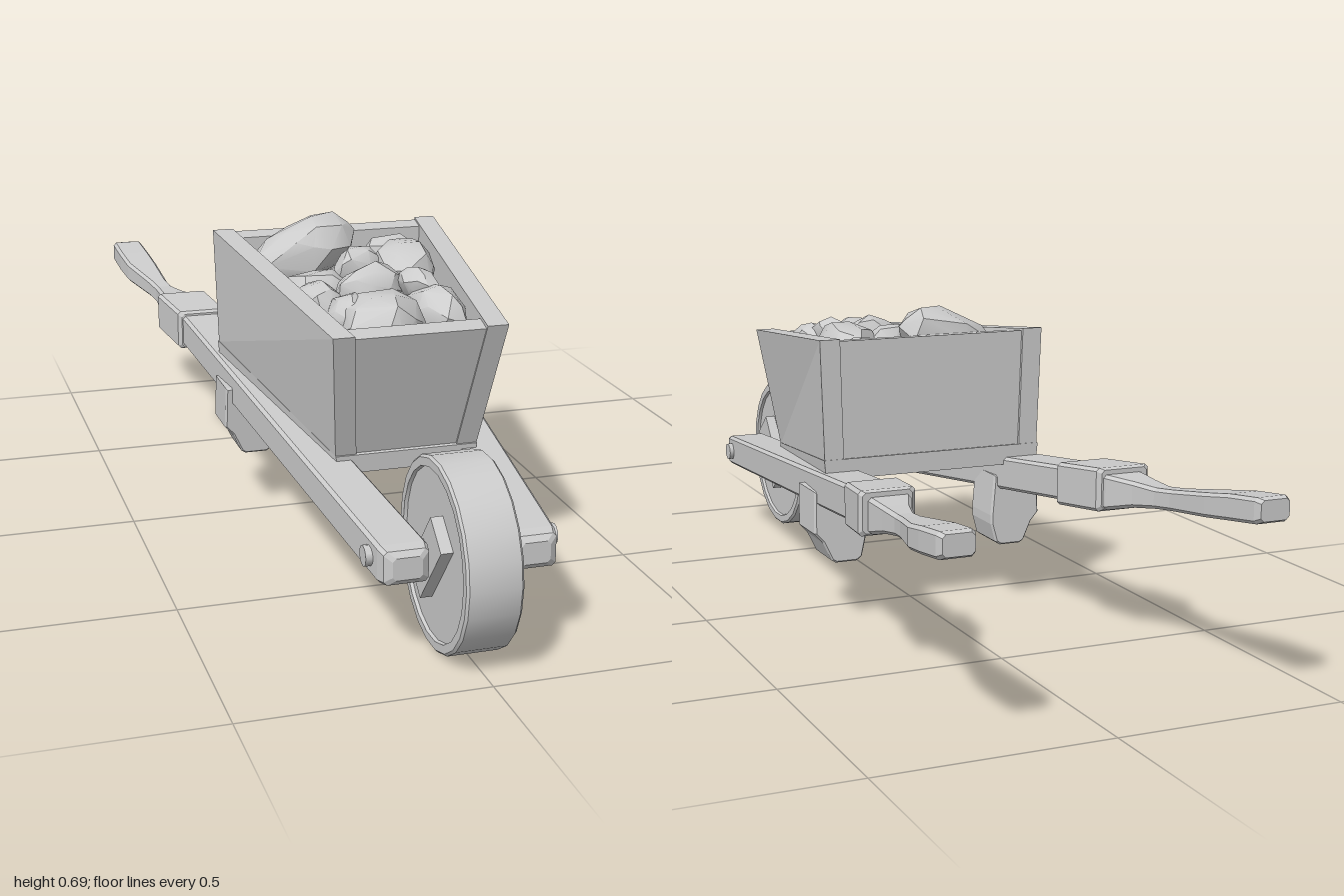
import * as THREE from 'three';
import { ConvexGeometry } from 'three/addons/geometries/ConvexGeometry.js';
import { toCreasedNormals } from 'three/addons/utils/BufferGeometryUtils.js';

const material = new THREE.MeshStandardMaterial({ color: 0xcccccc, side: THREE.DoubleSide });

function part(parent, name, geometry) {
  const mesh = new THREE.Mesh(geometry, material);
  mesh.name = name;
  parent.add(mesh);
  return mesh;
}

// Skin a list of rings, ordered front to back, each counter-clockwise seen from the front.
function loft(rings) {
  const pos = [];
  const tri = (...points) => points.forEach((p) => pos.push(...p));
  const n = rings[0].length;
  for (let s = 0; s < rings.length - 1; s++) {
    const a = rings[s], b = rings[s + 1];
    for (let i = 0; i < n; i++) {
      const j = (i + 1) % n;
      tri(a[i], b[i], b[j]);
      tri(a[i], b[j], a[j]);
    }
  }
  const first = rings[0], last = rings[rings.length - 1];
  for (let i = 1; i < n - 1; i++) {
    tri(first[0], first[i], first[i + 1]);
    tri(last[0], last[i + 1], last[i]);
  }
  const g = new THREE.BufferGeometry();
  g.setAttribute('position', new THREE.Float32BufferAttribute(pos, 3));
  g.computeVertexNormals();
  return g;
}

// Rectangle with bevelled corners
function beam(side, [x, y, z, w, h], bevel = 0.007) {
  const a = w / 2, b = h / 2, c = bevel;
  return [[-a + c, -b], [a - c, -b], [a, -b + c], [a, b - c], [a - c, b], [-a + c, b], [-a, b - c], [-a, -b + c]]
    .map(([u, v]) => [side * x + u, y + v, z]);
}

const mirrorRing = (ring) => ring.map(([x, y, z]) => [-x, y, z]).reverse();

// Trapezoid ring, symmetric in x
const trapezoid = (x0, y0, z0, x1, y1, z1) => [[-x0, y0, z0], [x0, y0, z0], [x1, y1, z1], [-x1, y1, z1]];

function createWheel() {
  const wheel = new THREE.Group();
  wheel.name = 'wheel';
  wheel.position.set(0, 0.197, 0.806);
  // Tyre with a thin rim lip and recessed disc
  const profile = [[0, -0.05], [0.172, -0.05], [0.174, -0.057], [0.191, -0.057], [0.196, -0.052],
    [0.196, 0.052], [0.191, 0.057], [0.174, 0.057], [0.172, 0.05], [0, 0.05]]
    .map(([r, h]) => new THREE.Vector2(r, h));
  const tyre = new THREE.LatheGeometry(profile, 22).rotateZ(Math.PI / 2);
  part(wheel, 'wheelDisc', toCreasedNormals(tyre, 0.5));
  // Tilted board across the hub
  const board = part(wheel, 'hubBoard', new THREE.BoxGeometry(0.15, 0.18, 0.08));
  board.rotation.x = 0.69;
  board.position.z = 0.012;
  return wheel;
}

function createTray() {
  const tray = new THREE.Group();
  tray.name = 'tray';
  part(tray, 'floor', loft([
    trapezoid(0.153, 0.255, 0.482, 0.155, 0.295, 0.485),
    trapezoid(0.258, 0.335, -0.138, 0.262, 0.38, -0.138),
  ]));
  const front = [[0.11, 0.292, 0.48], [0.155, 0.292, 0.48], [0.186, 0.575, 0.57], [0.14, 0.575, 0.57]];
  const back = [[0.215, 0.378, -0.135], [0.26, 0.378, -0.135], [0.269, 0.647, -0.135], [0.222, 0.647, -0.135]];
  part(tray, 'leftWall', loft([front, back]));
  part(tray, 'rightWall', loft([mirrorRing(front), mirrorRing(back)]));
  part(tray, 'frontWall', loft([
    trapezoid(0.111, 0.292, 0.474, 0.141, 0.568, 0.563),
    trapezoid(0.117, 0.298, 0.425, 0.147, 0.574, 0.508),
  ]));
  part(tray, 'backWall', loft([
    trapezoid(0.207, 0.372, -0.08, 0.216, 0.637, -0.08),
    trapezoid(0.216, 0.378, -0.13, 0.223, 0.642, -0.13),
  ]));
  return tray;
}

function createRocks() {
  const rocks = new THREE.Group();
  rocks.name = 'rocks';
  let seed = 11;
  const random = () => (seed = (seed * 16807) % 2147483647) / 2147483647;
  // Packed rubble under the visible stones
  part(rocks, 'rubbleBed', loft([
    trapezoid(0.12, 0.31, 0.44, 0.135, 0.5, 0.49),
    trapezoid(0.207, 0.39, -0.08, 0.21, 0.55, -0.08),
  ]));
  // x, y, z, radii, yaw, roll
  const stones = [
    [-0.08, 0.62, -0.01, 0.135, 0.07, 0.085, 0.1, 0.3],
    [0.13, 0.585, -0.035, 0.075, 0.05, 0.055, 0.2, -0.1],
    [0.12, 0.58, 0.1, 0.075, 0.075, 0.13, -0.15, -0.2],
    [0.01, 0.59, 0.09, 0.06, 0.055, 0.05, 0.4, 0.1],
    [-0.01, 0.585, 0.245, 0.08, 0.055, 0.045, 0.1, 0.1],
    [-0.13, 0.56, 0.255, 0.05, 0.055, 0.08, 0.1, 0],
    [-0.085, 0.55, 0.36, 0.06, 0.06, 0.065, -0.3, 0.2],
    [-0.03, 0.545, 0.4, 0.095, 0.075, 0.12, -0.3, -0.1],
    [0.1, 0.545, 0.36, 0.06, 0.07, 0.11, 0.1, 0.1],
    [0.085, 0.6, 0.29, 0.035, 0.035, 0.06, 0.3, 0.3],
    [-0.1, 0.55, 0.13, 0.085, 0.055, 0.07, 0.3, 0.1],
    [0.01, 0.54, 0.17, 0.07, 0.055, 0.08, 0.7, 0],
  ];
  for (const [x, y, z, rx, ry, rz, yaw, roll] of stones) {
    const points = [], count = 34;
    for (let i = 0; i < count; i++) {
      const v = 1 - (2 * (i + 0.5)) / count, r = Math.sqrt(1 - v * v);
      const angle = i * 2.4 + random() * 0.7, size = 0.88 + random() * 0.2;
      points.push(new THREE.Vector3(rx * r * Math.cos(angle), ry * v, rz * r * Math.sin(angle)).multiplyScalar(size));
    }
    const rock = part(rocks, 'rock', toCreasedNormals(new ConvexGeometry(points), 0.5));
    rock.position.set(x, y, z);
    rock.rotation.set(0, yaw, roll);
  }
  return rocks;
}

function createSide(side) {
  const group = new THREE.Group();
  group.name = side > 0 ? 'leftSide' : 'rightSide';
  // Long shaft, pinched and flared into a grip: x, y, z, width, height
  const shaft = [
    [0.13, 0.207, 0.878, 0.06, 0.045], [0.13, 0.207, 0.868, 0.09, 0.068], [0.131, 0.208, 0.845, 0.1, 0.076],
    [0.248, 0.34, -0.385, 0.098, 0.076], [0.267, 0.35, -0.535, 0.092, 0.075], [0.279, 0.357, -0.6, 0.062, 0.055],
    [0.287, 0.361, -0.66, 0.045, 0.044], [0.295, 0.367, -0.71, 0.047, 0.044], [0.315, 0.384, -0.83, 0.076, 0.05],
    [0.322, 0.395, -0.9, 0.078, 0.053], [0.327, 0.406, -0.985, 0.076, 0.052], [0.327, 0.408, -1, 0.064, 0.042],
  ];
  part(group, 'shaftAndGrip', loft(shaft.map((s) => beam(side, s))));
  // Collar around the shaft
  const collar = [
    [0.246, 0.34, -0.378, 0.106, 0.084], [0.247, 0.341, -0.385, 0.122, 0.094],
    [0.269, 0.354, -0.52, 0.124, 0.094], [0.27, 0.355, -0.528, 0.108, 0.084],
  ];
  part(group, 'collar', loft(collar.map((s) => beam(side, s))));
  // Axle pin
  const pin = new THREE.CylinderGeometry(0.021, 0.021, 0.15, 12).rotateZ(Math.PI / 2);
  part(group, 'axlePin', toCreasedNormals(pin, 0.7)).position.set(side * 0.122, 0.212, 0.806);
  // Leg with a tapered foot
  const outline = [[0.17, 0.3], [0.272, 0.3], [0.274, 0.21], [0.256, 0.19], [0.236, 0.148], [0.228, 0.143],
    [0.18, 0.143], [0.17, 0.15], [0.16, 0.19], [0.16, 0.21]]
    .map(([x, y]) => new THREE.Vector2(side * x, y));
  const leg = new THREE.ExtrudeGeometry(new THREE.Shape(outline), {
    depth: 0.1, bevelEnabled: true, bevelSize: 0.004, bevelThickness: 0.006, bevelSegments: 1,
  });
  const p = leg.attributes.position;
  // Lean the leg slightly back towards the foot
  for (let i = 0; i < p.count; i++) p.setZ(i, p.getZ(i) - 0.105 - (0.3 - p.getY(i)) * 0.06);
  leg.computeVertexNormals();
  part(group, 'leg', leg);
  return group;
}

export function createModel() {
  const model = new THREE.Group();
  model.name = 'wheelbarrow';
  model.add(createWheel(), createTray(), createRocks(), createSide(1), createSide(-1));
  return model;
}
